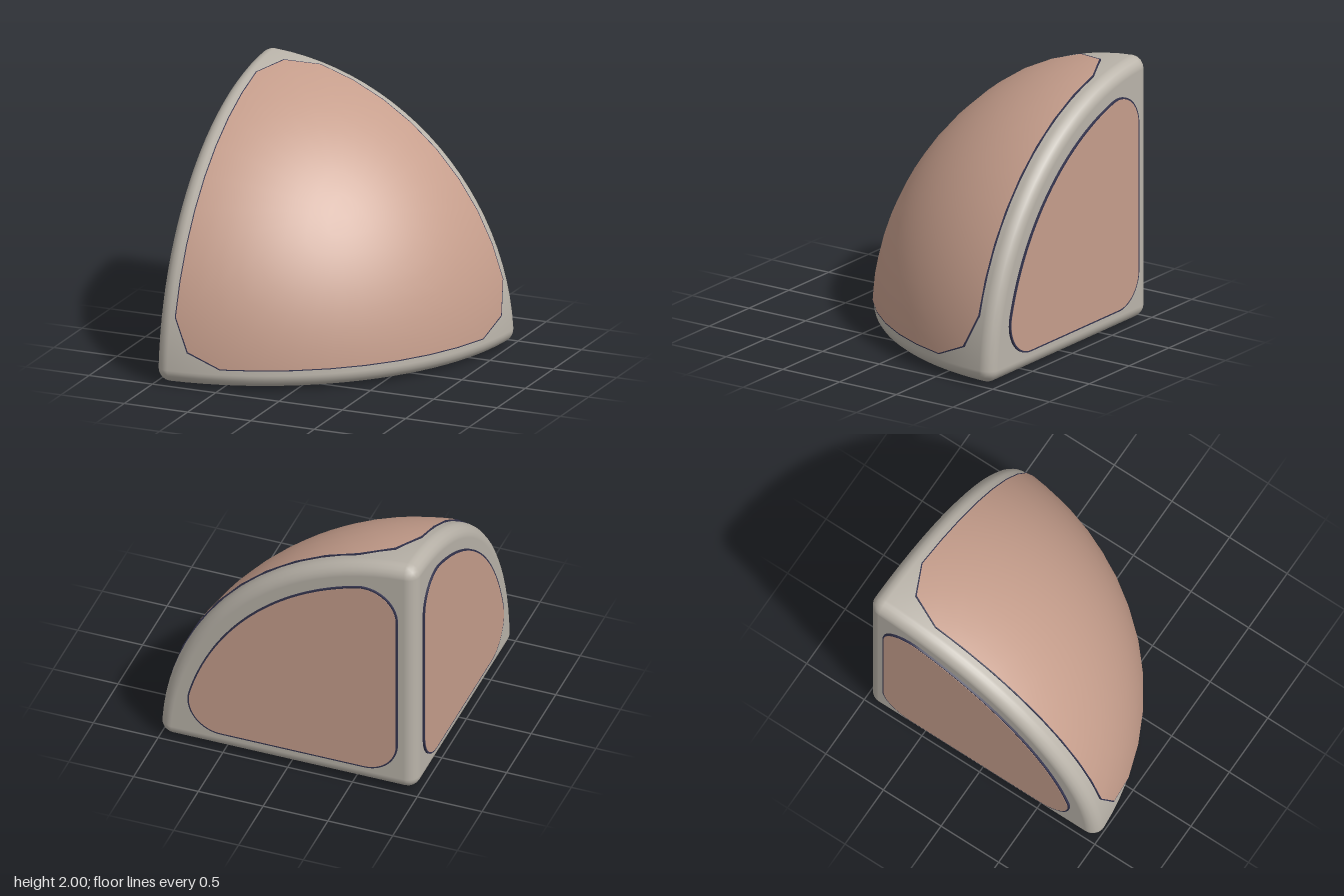
import * as THREE from 'three';
import { toCreasedNormals } from 'three/addons/utils/BufferGeometryUtils.js';
import { ConvexGeometry } from 'three/addons/geometries/ConvexGeometry.js';

const V = (x, y, z) => new THREE.Vector3(x, y, z);
// Rotates coordinates one axis on: x to y, y to z, z to x
const cycle = (p, k) => k === 0 ? p.clone() : cycle(V(p.z, p.x, p.y), k - 1);

// Body: a sphere octant (inner solid) thickened by a small rounding radius
const LOW = 0.112, BALL = 1.915, ROUND = 0.095;
const TIP = Math.sqrt(BALL * BALL - 2 * LOW * LOW);

// Nearest point of the inner octant
function nearest(p) {
  const q = p.toArray().map(c => Math.max(c, LOW));
  if (Math.hypot(...q) <= BALL) return V(...q);
  const fixed = [false, false, false], src = p.toArray();
  for (let pass = 0; pass < 3; pass++) {
    const held = fixed.filter(f => f).length;
    const free = Math.hypot(...src.filter((c, i) => !fixed[i]));
    const s = Math.sqrt(BALL * BALL - held * LOW * LOW) / free;
    src.forEach((c, i) => { q[i] = fixed[i] ? LOW : c * s; });
    q.forEach((c, i) => { if (c < LOW) { fixed[i] = true; q[i] = LOW; } });
  }
  return V(...q);
}

function bodyGeometry() {
  const points = [];
  // Points spread over the triangle of directions a, b, c
  const patch = (centre, radius, a, b, c, n) => {
    for (let i = 0; i <= n; i++) for (let j = 0; j <= n - i; j++) {
      const d = V(0, 0, 0).addScaledVector(a, i).addScaledVector(b, j).addScaledVector(c, n - i - j);
      points.push(d.normalize().multiplyScalar(radius).add(centre));
    }
  };
  const tip = V(TIP, LOW, LOW), axis = V(-1, 0, 0);
  const axes = [0, 1, 2].map(k => cycle(axis, k));
  const tips = [0, 1, 2].map(k => cycle(tip, k));
  patch(V(LOW, LOW, LOW), ROUND, ...axes, 6);
  patch(V(0, 0, 0), BALL + ROUND, ...tips, 18);
  for (let k = 0; k < 3; k++) {
    patch(tips[k], ROUND, axes[(k + 1) % 3], axes[(k + 2) % 3], tips[k].clone().normalize(), 6);
    // Rounded curved edge
    const start = Math.atan2(LOW, TIP), r = Math.hypot(TIP, LOW);
    for (let i = 1; i < 24; i++) {
      const t = start + (Math.PI / 2 - 2 * start) * i / 24;
      const q = V(r * Math.cos(t), r * Math.sin(t), LOW), out = q.clone().normalize();
      for (let j = 0; j <= 6; j++) {
        const n = V(0, 0, -1).multiplyScalar(1 - j / 6).addScaledVector(out, j / 6).normalize();
        points.push(cycle(q.clone().addScaledVector(n, ROUND), k));
      }
    }
  }
  const g = new ConvexGeometry(points), pos = g.attributes.position, p = V(0, 0, 0);
  for (let i = 0; i < pos.count; i++) {
    p.fromBufferAttribute(pos, i);
    const n = p.clone().sub(nearest(p)).normalize();
    g.attributes.normal.setXYZ(i, n.x, n.y, n.z);
  }
  return g;
}

// Flat panel outline: a quarter disc with three rounded corners
function panelShape(inset) {
  const r = 0.257 - inset, c = 0.412, outer = 1.83 - inset;
  const a = Math.sqrt((outer - r) ** 2 - c * c), t = Math.atan2(c, a), H = Math.PI / 2;
  const s = new THREE.Shape();
  s.absarc(a, c, r, -H, t);
  s.absarc(0, 0, outer, t, H - t);
  s.absarc(c, a, r, H - t, Math.PI);
  s.absarc(c, c, r, Math.PI, 3 * H);
  s.closePath();
  return s;
}
function plate(inset, z, depth) {
  const g = new THREE.ExtrudeGeometry(panelShape(inset), { depth, bevelEnabled: false, curveSegments: 16 });
  return g.translate(0, 0, z);
}

// Curved panel outline on a sphere: three clipped corners joined by arcs
function domeOutline(inset, R) {
  const m = 0.155 + inset, mid = 0.265 + inset, far = 0.51 + inset * 0.4, loop = [];
  for (let k = 0; k < 3; k++) {
    const add = (y, z) => loop.push(cycle(V(Math.sqrt(R * R - y * y - z * z), y, z), k));
    add(m, far);
    add(mid, mid);
    const r = Math.sqrt(R * R - m * m), t0 = Math.asin(far / r);
    for (let i = 0; i < 8; i++) add(r * Math.sin(t0 + (Math.PI / 2 - 2 * t0) * i / 8), m);
  }
  return loop;
}
function loft(rings) {
  const n = rings[0].length, index = [];
  for (let i = 0; i < rings.length - 1; i++) for (let j = 0; j < n; j++) {
    const a = i * n + j, b = i * n + (j + 1) % n;
    index.push(a, a + n, b + n, a, b + n, b);
  }
  const g = new THREE.BufferGeometry().setFromPoints(rings.flat());
  g.setIndex(index);
  g.computeVertexNormals();
  return g;
}
function domeGeometry(inset, R) {
  const edge = domeOutline(inset, R), centre = V(1, 1, 1).setLength(R), rings = [];
  for (let i = 0; i <= 8; i++) rings.push(edge.map(p => centre.clone().lerp(p, i / 8).setLength(R)));
  const g = loft(rings), normals = rings.flat().map(p => p.clone().normalize().toArray()).flat();
  g.setAttribute('normal', new THREE.Float32BufferAttribute(normals, 3));
  return g;
}

export function createModel() {
  const material = (name, color) => {
    const m = new THREE.MeshStandardMaterial({ color });
    m.name = name;
    return m;
  };
  const grey = material('warm grey', 0xbab4aa);
  const pink = material('dusty pink', 0xc69e8c);
  const navy = material('dark navy', 0x35354f);

  const model = new THREE.Group();
  model.name = 'sphereOctant';
  model.position.set(-1, 0, -1);
  const add = (parent, name, geometry, mat) => {
    const mesh = new THREE.Mesh(geometry, mat);
    mesh.name = name;
    parent.add(mesh);
  };

  add(model, 'body', bodyGeometry(), grey);

  // Curved outer panel with its dark rim
  const R = 2.024;
  add(model, 'curvedPanel', domeGeometry(0.008, R), pink);
  const rim = loft([domeOutline(0.009, R - 0.001), domeOutline(0, R - 0.001), domeOutline(0, 1.995)]);
  add(model, 'curvedPanelRim', toCreasedNormals(rim, 0.6), navy);

  // Three flat panels, turned about the body diagonal
  const rimPlate = toCreasedNormals(plate(0, 0.002, 0.03), 0.6), face = plate(0.012, 0, 0.004);
  ['back', 'left', 'bottom'].forEach((side, k) => {
    const panel = new THREE.Group();
    panel.name = side + 'Panel';
    panel.quaternion.setFromAxisAngle(V(1, 1, 1).normalize(), k * Math.PI * 2 / 3);
    add(panel, side + 'PanelRim', rimPlate, navy);
    add(panel, side + 'PanelFace', face, pink);
    model.add(panel);
  });

  const root = new THREE.Group();
  root.name = 'model';
  root.add(model);
  return root;
}
